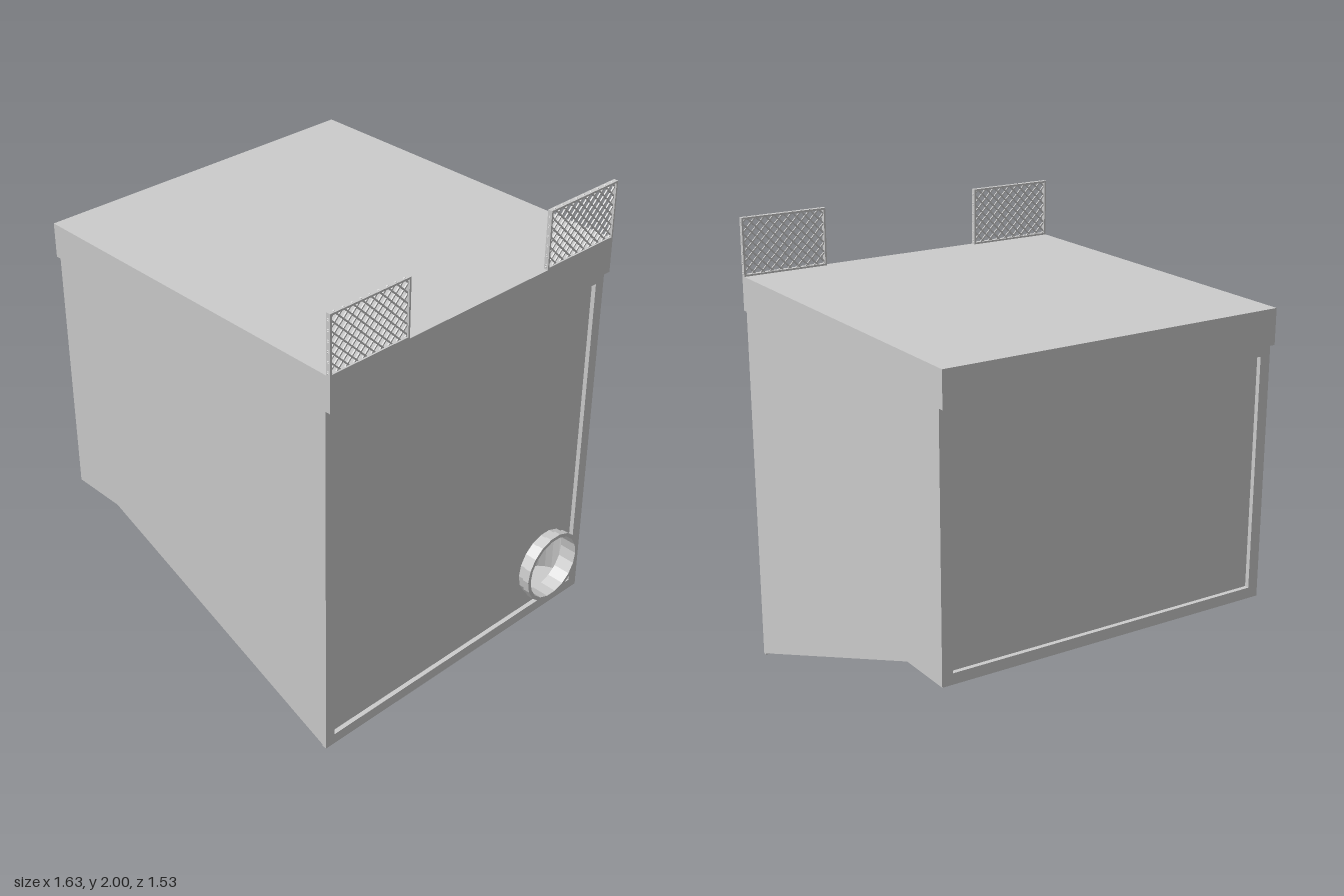
import * as THREE from 'three';
import { mergeGeometries } from 'three/addons/utils/BufferGeometryUtils.js';

const material = new THREE.MeshStandardMaterial({ color: 0xcccccc, flatShading: true, side: THREE.DoubleSide });
const HALF = 0.765;                       // half width along z
const LEFT = -0.795, RIGHT = 0.775;       // body ends along x
const TOP = 1.6, RECESS = 0.02;
const PIPE = { y: 0.237, z: -0.547 };

function rect(Type, z0, z1, y0, y1) {
  return new Type([[z0, y0], [z1, y0], [z1, y1], [z0, y1]].map(([z, y]) => new THREE.Vector2(z, y)));
}

// Rectangular ring in the z-y plane whose largest x is xMax
function ring(z0, z1, y0, y1, border, depth, xMax) {
  const shape = rect(THREE.Shape, z0, z1, y0, y1);
  shape.holes.push(rect(THREE.Path, z0 + border, z1 - border, y0 + border, y1 - border));
  return new THREE.ExtrudeGeometry(shape, { depth, bevelEnabled: false })
    .rotateY(-Math.PI / 2).translate(xMax, 0, 0);
}

export function createModel() {
  const model = new THREE.Group();
  const add = (name, geometry, parent = model) => {
    const mesh = new THREE.Mesh(geometry, material);
    mesh.name = name;
    parent.add(mesh);
    return mesh;
  };

  // Side walls with the sloping lower edge
  const floor = [[LEFT, 0.51], [-0.535, 0.51], [RIGHT, 0.005]];
  const profile = new THREE.Shape([...floor, [RIGHT, TOP], [LEFT, TOP]].map(([x, y]) => new THREE.Vector2(x, y)));
  add('frontWall', new THREE.ShapeGeometry(profile)).position.z = HALF;
  add('backWall', new THREE.ShapeGeometry(profile).rotateY(Math.PI).scale(-1, 1, 1)).position.z = -HALF;

  // Underside: flat ledge, then slope
  for (let i = 0; i < 2; i++) {
    const [[x0, y0], [x1, y1]] = [floor[i], floor[i + 1]];
    const plate = add(i ? 'slopedFloor' : 'flatFloor',
      new THREE.PlaneGeometry(Math.hypot(x1 - x0, y1 - y0), 2 * HALF).rotateX(Math.PI / 2));
    plate.position.set((x0 + x1) / 2, (y0 + y1) / 2, 0);
    plate.rotation.z = Math.atan2(y1 - y0, x1 - x0);
  }

  // End frames around recessed panels; the right panel is cut for the pipe
  add('rightFrame', ring(-HALF, HALF, 0.005, TOP, 0.047, RECESS, RIGHT));
  add('leftFrame', ring(-HALF, HALF, 0.51, TOP, 0.047, RECESS, LEFT + RECESS));
  const rightPanel = rect(THREE.Shape, -HALF, HALF, 0.02, TOP);
  rightPanel.holes.push(new THREE.Path().absarc(PIPE.z, PIPE.y, 0.15, 0, Math.PI * 2, true));
  add('rightPanel', new THREE.ShapeGeometry(rightPanel, 16).rotateY(-Math.PI / 2)).position.x = RIGHT - RECESS;
  add('leftPanel', new THREE.ShapeGeometry(rect(THREE.Shape, -HALF, HALF, 0.51, TOP))
    .rotateY(-Math.PI / 2)).position.x = LEFT + RECESS;

  // Lid overhanging both ends
  add('lid', new THREE.BoxGeometry(1.62, 0.15, 2 * HALF)).position.set(-0.01, 1.675, 0);

  // Pipe outlet: stepped collar and the upright pipe seen inside it
  const outlet = new THREE.Group();
  outlet.name = 'pipeOutlet';
  outlet.position.set(0, PIPE.y, PIPE.z);
  model.add(outlet);
  const collar = [[0.147, 0.735], [0.156, 0.735], [0.156, 0.785], [0.164, 0.785], [0.164, 0.815], [0.147, 0.815], [0.147, 0.735]];
  add('pipeCollar', new THREE.LatheGeometry(collar.map(([r, x]) => new THREE.Vector2(r, x)), 18)
    .rotateZ(-Math.PI / 2), outlet);
  const inner = add('innerPipe', new THREE.CylinderGeometry(0.152, 0.152, 0.29, 16, 1, false, Math.PI, Math.PI), outlet);
  inner.position.x = RIGHT - RECESS;

  // Two mesh guards standing on the right edge of the lid
  const w = 0.39, y0 = 1.75, y1 = 2, pitch = 0.042;
  const h = y1 - y0;
  for (const side of [1, -1]) {
    const guard = new THREE.Group();
    guard.name = side > 0 ? 'frontGuard' : 'backGuard';
    guard.position.set(0, y0, side * (HALF - w / 2));
    model.add(guard);
    add('guardFrame', ring(-w / 2, w / 2, 0, h, 0.008, 0.02, 0.8), guard);

    // Diagonal wires clipped to the frame, in both directions
    const wires = [];
    for (let c = pitch / 2; c < w + h; c += pitch) {
      const a = Math.max(0, c - h), b = Math.min(w, c);
      for (const dir of [1, -1]) {
        wires.push(new THREE.BoxGeometry(0.006, 0.006, (b - a) * Math.SQRT2)
          .rotateX(dir * Math.PI / 4)
          .translate(0.79, c - (a + b) / 2, dir * ((a + b) / 2 - w / 2)));
      }
    }
    add('guardMesh', mergeGeometries(wires), guard);
  }
  return model;
}
